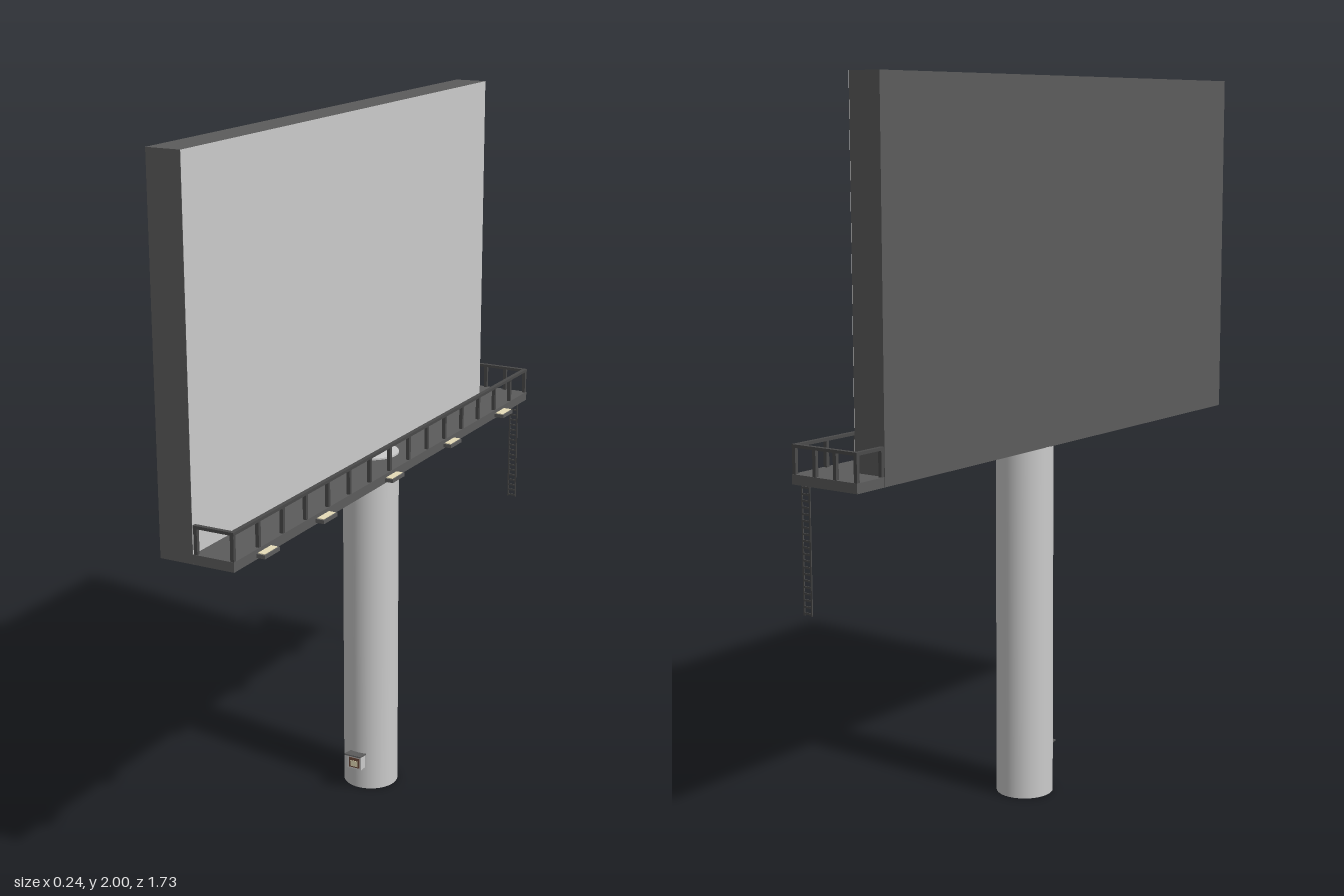
import * as THREE from 'three';

const mat = (color) => new THREE.MeshStandardMaterial({ color, side: THREE.DoubleSide });

export function createModel() {
  const root = new THREE.Group();
  const grey = mat(0xcccccc), dark = mat(0x5c5c5c), railGrey = mat(0x4a4a4a);
  const beige = mat(0xe6dcb8), brown = mat(0x6b4a3c);

  const group = (name) => {
    const g = new THREE.Group();
    g.name = name;
    root.add(g);
    return g;
  };
  // Box given by its low and high corners
  const box = (parent, name, material, [x0, y0, z0], [x1, y1, z1]) => {
    const m = new THREE.Mesh(new THREE.BoxGeometry(x1 - x0, y1 - y0, z1 - z0), material);
    m.position.set((x0 + x1) / 2, (y0 + y1) / 2, (z0 + z1) / 2);
    m.name = name;
    parent.add(m);
    return m;
  };

  // Pole, its top just piercing the deck
  const pole = new THREE.Mesh(new THREE.CylinderGeometry(0.08, 0.08, 1.03, 48), grey);
  pole.position.set(-0.042, 0.515, -0.07);
  pole.name = 'pole';
  root.add(pole);

  // Display panel with a pale face towards +x
  box(root, 'panelCase', dark, [-0.122, 1, -0.765], [-0.027, 2, 0.867]);
  const face = new THREE.Mesh(new THREE.PlaneGeometry(1.632, 0.975), grey);
  face.rotation.y = Math.PI / 2;
  face.position.set(-0.026, 1.5125, 0.051);
  face.name = 'panelFace';
  root.add(face);

  // Walkway deck
  box(root, 'deck', dark, [-0.121, 0.999, -0.867], [0.09, 1.025, 0.866]);

  // Railing: evenly spaced posts joined by a thin top rail
  const railing = group('railing');
  const railRun = (ax, az, bx, bz, bays) => {
    for (let i = 0; i <= bays; i++) {
      const x = ax + (bx - ax) * i / bays, z = az + (bz - az) * i / bays;
      box(railing, 'post', railGrey, [x - 0.005, 1.02, z - 0.005], [x + 0.005, 1.098, z + 0.005]);
    }
    box(railing, 'topRail', railGrey,
      [Math.min(ax, bx) - 0.006, 1.092, Math.min(az, bz) - 0.006],
      [Math.max(ax, bx) + 0.006, 1.1, Math.max(az, bz) + 0.006]);
  };
  railRun(0.084, 0.86, 0.084, -0.861, 15);
  railRun(-0.02, 0.86, 0.084, 0.86, 1);
  railRun(-0.115, -0.861, 0.084, -0.861, 3);
  railRun(-0.115, -0.861, -0.115, -0.77, 1);

  // Floodlights along the outer deck edge
  const lights = group('floodlights');
  for (const z of [-0.66, -0.305, 0.06, 0.44, 0.73]) {
    const out = z < -0.6 ? 0.12 : 0.115;
    box(lights, 'lampHousing', dark, [0.088, 1.004, z - 0.035], [out, 1.014, z + 0.035]);
    box(lights, 'lampGlass', beige, [0.092, 1.013, z - 0.031], [out - 0.004, 1.016, z + 0.031]);
  }

  // Flat access ladder hanging at the rear end
  const ladder = group('ladder');
  for (const x of [0.037, 0.062])
    box(ladder, 'ladderRail', railGrey, [x - 0.002, 0.67, -0.864], [x + 0.002, 1, -0.861]);
  for (let i = 0; i < 20; i++) {
    const y = 0.673 + i * 0.0168;
    box(ladder, 'rung', railGrey, [0.037, y, -0.864], [0.062, y + 0.005, -0.861]);
  }

  // Small control box near the foot of the pole
  const control = group('controlBox');
  box(control, 'controlCase', grey, [-0.066, 0.07, 0.005], [-0.02, 0.112, 0.032]);
  box(control, 'controlFrame', brown, [-0.06, 0.075, 0.03], [-0.026, 0.106, 0.034]);
  box(control, 'controlWindow', beige, [-0.055, 0.079, 0.033], [-0.031, 0.097, 0.035]);
  const hood = box(control, 'controlHood', dark, [-0.069, 0.113, 0.006], [-0.017, 0.117, 0.046]);
  hood.rotation.x = -0.15;

  return root;
}
